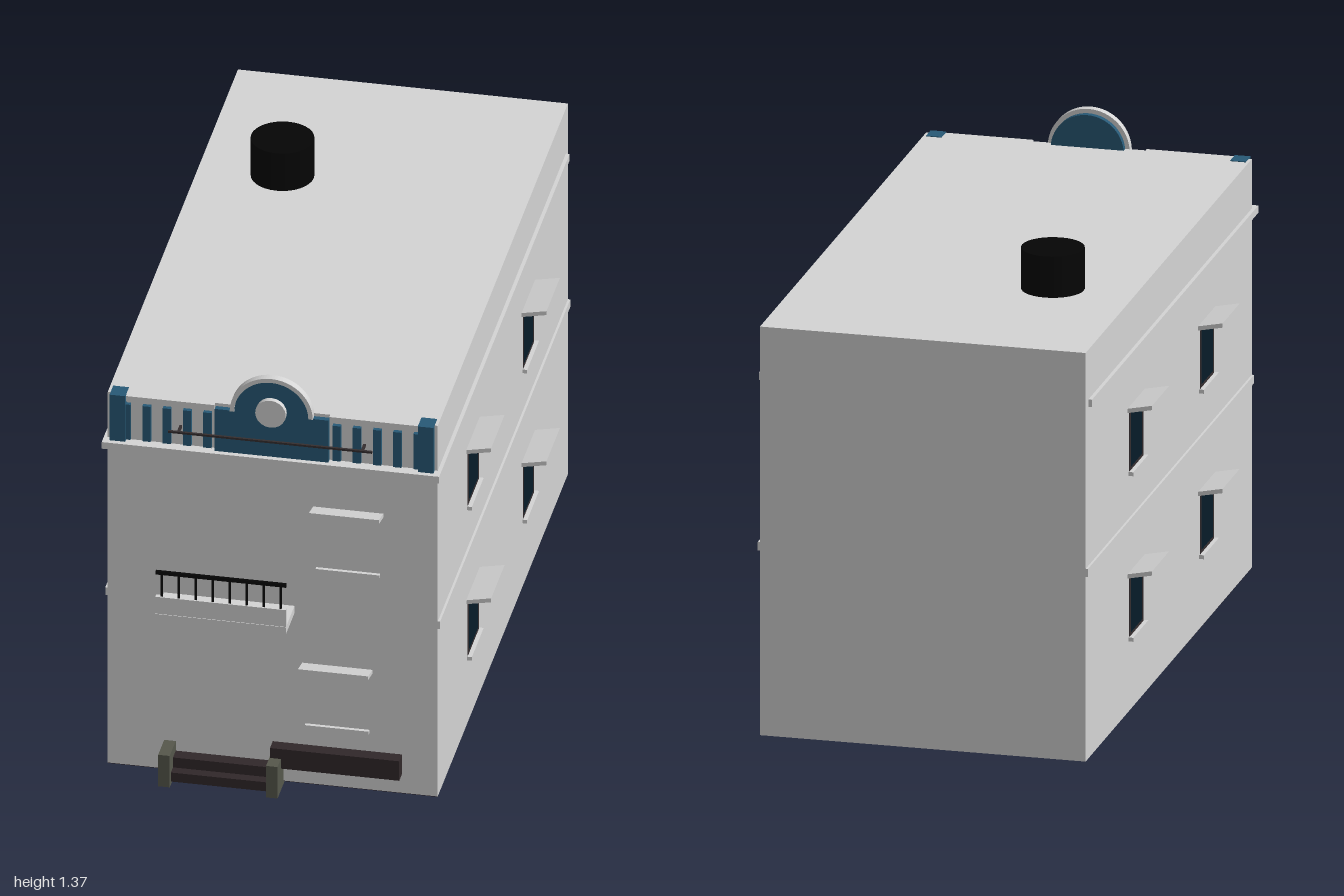
import * as THREE from 'three';

const mat = (name, color) => {
  const m = new THREE.MeshStandardMaterial({ color });
  m.name = name;
  return m;
};

export function createModel() {
  const wall = mat('wallGrey', 0xd5d5d5);
  const blue = mat('parapetBlue', 0x285a77);
  const glass = mat('windowGlass', 0x071b28);
  const frame = mat('windowFrame', 0x352e30);
  const black = mat('black', 0x050505);
  const brown = mat('darkBrown', 0x31282a);
  const stone = mat('stoneGrey', 0x56584c);

  const root = new THREE.Group();
  root.name = 'building';

  const add = (parent, name, geo, m) => {
    const mesh = new THREE.Mesh(geo, m);
    mesh.name = name;
    parent.add(mesh);
    return mesh;
  };
  // Box given by its minimum and maximum on each axis
  const box = (parent, name, m, x0, x1, y0, y1, z0, z1) => {
    const mesh = add(parent, name, new THREE.BoxGeometry(x1 - x0, y1 - y0, z1 - z0), m);
    mesh.position.set((x0 + x1) / 2, (y0 + y1) / 2, (z0 + z1) / 2);
    return mesh;
  };
  const group = (name) => {
    const g = new THREE.Group();
    g.name = name;
    root.add(g);
    return g;
  };

  const W = 0.485, F = 0.875;

  // Main block, dark floor plate under the front half, floor band and cornice
  box(root, 'mainBlock', wall, -W, W, 0.01, 1.247, -1, F);
  box(root, 'floorPlate', brown, -W + 0.001, W - 0.001, 0.008, 0.011, 0.05, F - 0.001);
  box(root, 'floorBand', wall, -0.492, 0.492, 0.569, 0.594, -1, F);
  box(root, 'cornice', wall, -0.496, 0.496, 1.075, 1.097, -0.97, 0.908);

  // Tilted sunshade sticking out along +z from the local origin
  const shade = (parent, width, depth) => {
    const shape = new THREE.Shape();
    shape.moveTo(-0.005, 0);
    shape.lineTo(depth, 0.016);
    shape.lineTo(depth, 0.029);
    shape.lineTo(-0.005, 0.013);
    const geo = new THREE.ExtrudeGeometry(shape, { depth: width, bevelEnabled: false });
    geo.translate(0, 0, -width / 2);
    geo.rotateY(-Math.PI / 2);
    return add(parent, 'sunshade', geo, wall);
  };

  // Side windows: local +z points out of the wall
  for (const side of [-1, 1]) {
    for (const z of [0.367, -0.43]) {
      for (const y of [0.236, 0.737]) {
        const g = group('sideWindow');
        g.position.set(side * W, y, z);
        g.rotation.y = side * Math.PI / 2;
        box(g, 'windowPane', glass, -0.07, 0.07, 0, 0.18, -0.002, 0.0006);
        for (const s of [-1, 1]) box(g, 'frameSide', frame, s * 0.072 - 0.006, s * 0.072 + 0.006, 0, 0.18, -0.002, 0.0014);
        box(g, 'frameTop', frame, -0.078, 0.078, 0.17, 0.18, -0.002, 0.0014);
        box(g, 'frameBottom', frame, -0.078, 0.078, -0.003, 0.006, -0.002, 0.0014);
        box(g, 'sill', wall, -0.085, 0.085, -0.014, -0.002, -0.002, 0.014);
        shade(g, 0.194, 0.073).position.y = 0.179;
      }
    }
  }

  // Front sunshades and sills
  for (const [x, y] of [[0.222, 0.921], [0.19, 0.396]]) {
    const g = group('frontLedges');
    g.position.set(x, y, F);
    shade(g, 0.206, 0.064);
    box(g, 'sill', wall, -0.094, 0.094, -0.198, -0.187, -0.002, 0.011);
  }

  // Balcony with low wall and railing
  const balcony = group('balcony');
  box(balcony, 'balconySlab', wall, -0.32, 0.064, 0.573, 0.597, F - 0.002, 1);
  box(balcony, 'balconyWall', wall, -0.32, 0.064, 0.597, 0.653, 0.984, 0.998);
  box(balcony, 'handrail', black, -0.32, 0.064, 0.727, 0.737, 0.987, 0.997);
  for (let i = 0; i < 8; i++) {
    const x = -0.302 + i * 0.0499;
    box(balcony, 'railPost', black, x - 0.003, x + 0.003, 0.653, 0.728, 0.99, 0.994);
  }

  // Entrance steps, side blocks and planter
  const entrance = group('entrance');
  box(entrance, 'lowerStep', brown, -0.285, 0, 0.01, 0.04, F - 0.002, 0.945);
  box(entrance, 'upperStep', brown, -0.285, 0, 0.04, 0.073, F - 0.002, 0.915);
  for (const x of [-0.302, 0.015]) box(entrance, 'stepBlock', stone, x - 0.017, x + 0.017, 0, 0.105, 0.836, 0.962);
  box(entrance, 'planter', brown, 0.0, 0.38, 0.073, 0.138, F - 0.002, 0.915);

  // Front parapet: corner pillars, balusters and coping
  const parapet = group('parapet');
  for (const s of [-1, 1]) {
    box(parapet, 'cornerPillar', blue, s * 0.453 - 0.023, s * 0.453 + 0.023, 1.097, 1.249, 0.84, 0.893);
    for (let i = 0; i < 5; i++) {
      const x = s * (0.19 + i * 0.0595);
      box(parapet, 'baluster', blue, x - 0.012, x + 0.012, 1.102, 1.219, F - 0.002, 0.888);
    }
    box(parapet, 'coping', wall, s * 0.299 - 0.13, s * 0.299 + 0.13, 1.231, 1.247, F - 0.002, 0.888);
  }

  // Centre panel with a round top and flat shoulders
  const CY = 1.237, R = 0.109, RO = 0.122, SHOULDER = 0.167;
  const panel = new THREE.Shape();
  panel.moveTo(-SHOULDER, 1.097);
  panel.lineTo(SHOULDER, 1.097);
  panel.lineTo(SHOULDER, CY);
  panel.lineTo(R, CY);
  panel.absarc(0, CY, R, 0, Math.PI, false);
  panel.lineTo(-SHOULDER, CY);
  const panelMesh = add(parapet, 'centrePanel', new THREE.ExtrudeGeometry(panel, { depth: 0.037, bevelEnabled: false, curveSegments: 24 }), blue);
  panelMesh.position.z = 0.855;

  // Arched rim over the panel
  const rim = new THREE.Shape();
  rim.absarc(0, CY, RO, 0, Math.PI, false);
  rim.absarc(0, CY, R, Math.PI, 0, true);
  const rimMesh = add(parapet, 'archRim', new THREE.ExtrudeGeometry(rim, { depth: 0.024, bevelEnabled: false, curveSegments: 24 }), wall);
  rimMesh.position.z = 0.873;

  const disc = add(parapet, 'roundPlaque', new THREE.CylinderGeometry(0.045, 0.045, 0.018, 20), wall);
  disc.rotation.x = Math.PI / 2;
  disc.position.set(0, 1.248, 0.899);

  // Thin bar across the parapet
  box(parapet, 'parapetBar', frame, -0.3, 0.3, 1.155, 1.161, 0.908, 0.915);
  for (const x of [-0.27, 0.27]) box(parapet, 'barBracket', frame, x - 0.004, x + 0.004, 1.155, 1.161, F, 0.91);

  // Roof water tank
  const tank = add(root, 'roofTank', new THREE.CylinderGeometry(0.092, 0.092, 0.125, 32), black);
  tank.position.set(-0.239, 1.309, -0.437);

  return root;
}
